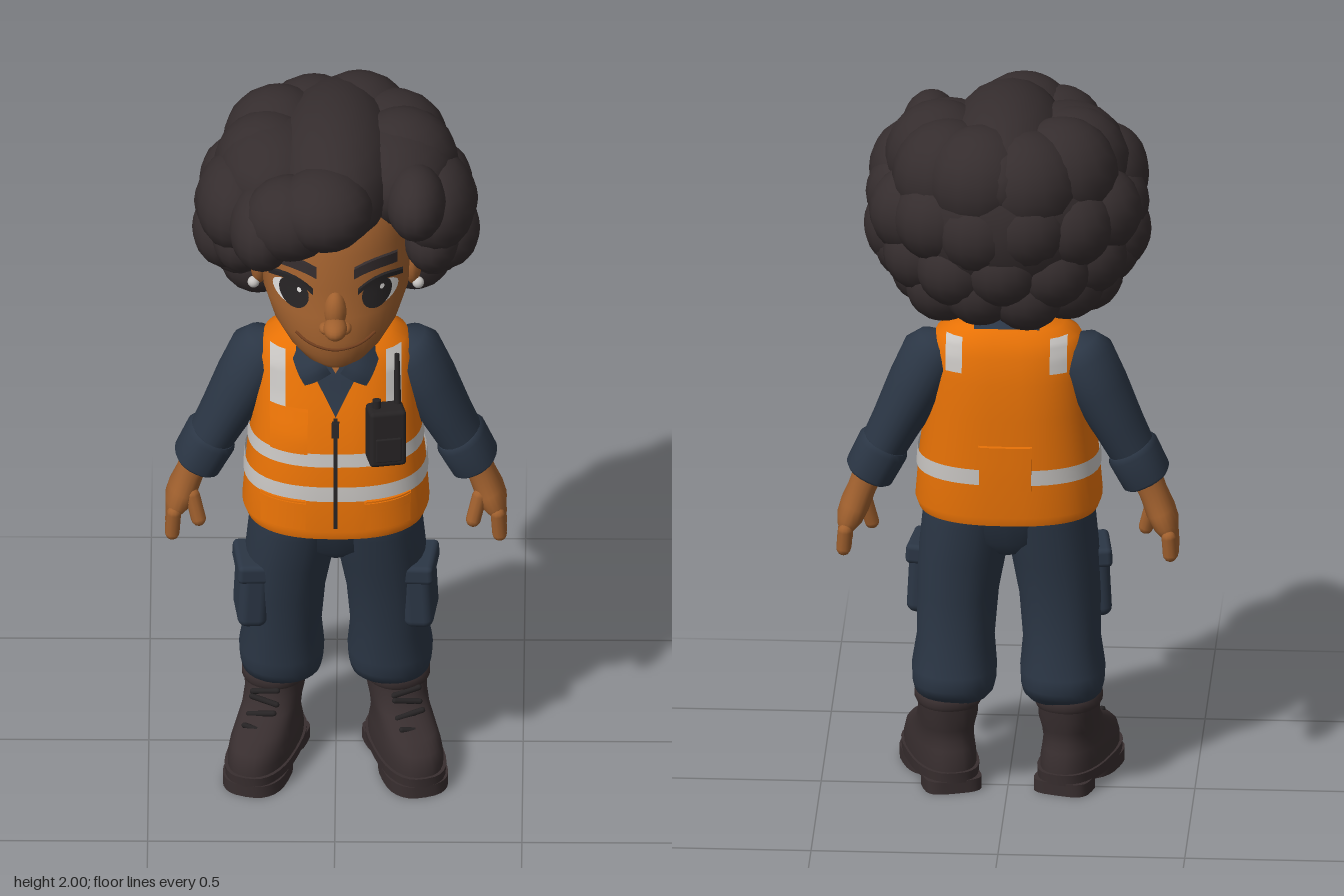
import * as THREE from 'three';
import { RoundedBoxGeometry } from 'three/addons/geometries/RoundedBoxGeometry.js';

const mat = (name, color, side = THREE.FrontSide) => Object.assign(new THREE.MeshStandardMaterial({ color, side }), { name });
const M = {
  skin: mat('skin', 0xa0602e), hair: mat('hair', 0x352d2e), navy: mat('navyCloth', 0x2b3645, THREE.DoubleSide),
  orange: mat('orangeVest', 0xec7406), silver: mat('reflective', 0xc6c3c0, THREE.DoubleSide), boot: mat('bootLeather', 0x382e2f),
  dark: mat('darkRubber', 0x262324), white: mat('eyeWhite', 0xdcdad8), lip: mat('lip', 0x74401f),
};

function add(parent, name, geo, material, pos = [0, 0, 0], scale = [1, 1, 1], rot = [0, 0, 0]) {
  const m = new THREE.Mesh(geo, material);
  m.name = name;
  m.position.set(...pos); m.scale.set(...scale); m.rotation.set(...rot);
  parent.add(m);
  return m;
}
const ball = (parent, name, material, [x, y, z, rx, ry = rx, rz = rx]) =>
  add(parent, name, new THREE.SphereGeometry(1, 16, 12), material, [x, y, z], [rx, ry, rz]);

// Rings are [y, rx, rz, cz, cx], listed from the bottom up
function sample(rings, y) {
  let i = 0;
  while (i < rings.length - 2 && y > rings[i + 1][0]) i++;
  const a = rings[i], b = rings[i + 1], t = THREE.MathUtils.clamp((y - a[0]) / (b[0] - a[0]), 0, 1);
  return a.map((v, k) => v + (b[k] - v) * t);
}

// Skin a stack of superellipse rings; a partial sweep leaves an open band
function loft(rings, p = 2, n = 32, sweep = Math.PI * 2, caps = true) {
  const full = sweep > 6.28, cols = full ? n : n + 1, pos = [], idx = [];
  const pw = v => Math.sign(v) * Math.abs(v) ** (2 / p);
  const ring = ([y, rx, rz, cz = 0, cx = 0]) => {
    for (let k = 0; k < cols; k++) {
      const a = k / n * sweep;
      pos.push(cx + rx * pw(Math.cos(a)), y, cz + rz * pw(Math.sin(a)));
    }
  };
  rings.forEach(ring);
  for (let i = 0; i < rings.length - 1; i++) for (let k = 0; k < n; k++) {
    const k1 = (k + 1) % cols, a = i * cols + k, b = i * cols + k1, c = b + cols, d = a + cols;
    idx.push(a, d, c, a, c, b);
  }
  if (full && caps) for (const top of [false, true]) {
    const r = rings[top ? rings.length - 1 : 0], s = pos.length / 3;
    ring(r);
    pos.push(r[4] ?? 0, r[0], r[3] ?? 0);
    for (let k = 0; k < n; k++) {
      const k1 = (k + 1) % n;
      idx.push(s + n, s + (top ? k1 : k), s + (top ? k : k1));
    }
  }
  const g = new THREE.BufferGeometry();
  g.setAttribute('position', new THREE.Float32BufferAttribute(pos, 3));
  g.setIndex(idx);
  g.computeVertexNormals();
  return g;
}

// Depth of a lofted body at (x, y), and a wrap that lays a flat piece onto it
function depth(rings, p, x, y, dir = 1) {
  const [, rx, rz, cz] = sample(rings, y);
  return cz + dir * rz * Math.max(0, 1 - Math.abs(x / rx) ** p) ** (1 / p);
}
function wrap(geo, rings, p, x, y, off = 0, { dir = 1, bend = 0, half = 1 } = {}) {
  if (dir < 0) geo.rotateY(Math.PI);
  const a = geo.attributes.position;
  for (let i = 0; i < a.count; i++) {
    const u = a.getX(i), px = u + x, py = a.getY(i) + y + bend * (1 - (u / half) ** 2);
    a.setXYZ(i, px, py, a.getZ(i) + dir * off + depth(rings, p, px, py, dir));
  }
  geo.computeVertexNormals();
  return geo;
}
const disc = (rx, ry) => new THREE.RingGeometry(0, 1, 24, 4).scale(rx, ry, 1);
const slab = (w, h, d) => new THREE.BoxGeometry(w, h, d, 8, 4, 1);

const HEAD = [[1.352, .04, .035, .225], [1.37, .085, .08, .195], [1.4, .128, .137, .147], [1.45, .168, .195, .1],
  [1.52, .195, .212, .07], [1.6, .2, .215, .05], [1.7, .2, .23, .03], [1.8, .185, .2, .02], [1.88, .1, .1, .02]];
const VEST = [[.8, .24, .195, .055], [.825, .25, .2, .055], [.95, .24, .195, .05], [1.1, .222, .18, .04], [1.2, .215, .155, .02],
  [1.27, .21, .135, .015], [1.31, .19, .115, .01], [1.335, .15, .09, .01], [1.355, .09, .065, .005]];
const VP = 2.5;

function buildHead(g) {
  add(g, 'head', loft(HEAD, 2, 40), M.skin);
  add(g, 'neck', new THREE.CylinderGeometry(.075, .08, .2, 24), M.skin, [0, 1.37, .02]);
  ball(g, 'noseTip', M.skin, [0, 1.503, .302, .032, .028, .047]);
  ball(g, 'noseBridge', M.skin, [0, 1.535, .262, .032, .06, .04]);
  ball(g, 'muzzle', M.skin, [0, 1.435, .225, .1, .055, .065]);
  // smile
  const mouth = [-.105, -.08, -.05, 0, .05, .08, .105].map(x => {
    const y = 1.428 + .034 * (x / .105) ** 2;
    const bulge = .225 + .065 * Math.sqrt(Math.max(0, 1 - (x / .1) ** 2 - ((y - 1.435) / .055) ** 2));
    return new THREE.Vector3(x, y, Math.max(depth(HEAD, 2, x, y), bulge));
  });
  add(g, 'mouth', new THREE.TubeGeometry(new THREE.CatmullRomCurve3(mouth), 28, .0045, 6), M.lip);
  for (const s of [-1, 1]) {
    ball(g, 'nostril', M.skin, [s * .026, 1.495, .286, .018, .016, .024]);
    add(g, 'eyeWhite', wrap(disc(.048, .033), HEAD, 2, s * .12, 1.573, .004), M.white);
    add(g, 'iris', wrap(disc(.04, .041), HEAD, 2, s * .111, 1.577, .006), M.dark);
    add(g, 'eyeGlint', wrap(disc(.006, .007), HEAD, 2, s * .111 + .014, 1.592, .009), M.white);
    add(g, 'upperLash', wrap(slab(.12, .012, .018), HEAD, 2, s * .12, 1.594, .003, { bend: .025, half: .06 }), M.dark);
    add(g, 'eyebrow', wrap(slab(.115, .029, .022), HEAD, 2, s * .108, 1.652, .001, { bend: .014, half: .058 }), M.hair);
    ball(g, 'ear', M.skin, [s * .205, 1.55, .04, .025, .065, .042]);
    ball(g, 'earring', M.silver, [s * .22, 1.497, .062, .016]);
  }
}

function buildHair(g) {
  const curl = c => ball(g, 'hairCurl', M.hair, c);
  curl([0, 1.71, -.09, .31, .255, .275]);
  curl([0, 1.83, -.02, .17, .17, .33]);
  // swept fringe
  curl([-.03, 1.84, .235, .13, .11, .138]);
  curl([-.12, 1.805, .225, .125, .115, .125]);
  curl([-.195, 1.755, .19, .09, .115, .14]);
  curl([.215, 1.82, .17, .08, .1, .12]);
  for (const s of [-1, 1]) {
    curl([s * .16, 1.82, .0, .16, .135, .2]);
    curl([s * .265, 1.75, .05, .11, .13, .16]);
    curl([s * .255, 1.66, .09, .075, .095, .1]);
    curl([s * .295, 1.62, -.02, .09, .11, .11]);
  }
  // rows of curls around the back: [y, x reach, z reach, size, count, half sweep]
  for (const [y, rx, rz, r, n, half] of [[1.81, .18, .165, .15, 6, 1.7], [1.7, .26, .205, .122, 8, 1.7], [1.58, .25, .2, .108, 7, 1.6], [1.505, .21, .17, .103, 6, 1.5]])
    for (let i = 0; i < n; i++) {
      const a = (i / (n - 1) * 2 - 1) * half;
      curl([rx * Math.sin(a), y + (i % 2) * .012, -.05 - rz * Math.cos(a), r]);
    }
}

function buildVest(g) {
  add(g, 'vestBody', loft(VEST, VP, 48), M.orange);
  const band = (y0, y1) => [y0, (y0 + y1) / 2, y1].map(y => sample(VEST, y).map((v, k) => k === 1 || k === 2 ? v + .005 : v));
  add(g, 'lowerBand', loft(band(.92, .963), VP, 48, Math.PI * 2, false), M.silver);
  add(g, 'upperBand', loft(band(1.02, 1.058), VP, 32, Math.PI), M.silver);
  for (const s of [-1, 1]) {
    add(g, 'frontShoulderStripe', wrap(new THREE.PlaneGeometry(.042, .14, 2, 10), VEST, VP, s * .155, 1.242, .006), M.silver);
    add(g, 'backShoulderStripe', wrap(new THREE.PlaneGeometry(.045, .09, 2, 8), VEST, VP, s * .14, 1.275, .006, { dir: -1 }), M.silver);
    add(g, 'lowerPocket', wrap(slab(.12, .085, .03), VEST, VP, s * .14, .88), M.orange);
    add(g, 'pocketFlap', wrap(slab(.124, .026, .038), VEST, VP, s * .14, .905), M.orange);
  }
  add(g, 'chestPocket', wrap(slab(.1, .11, .026), VEST, VP, -.125, 1.113), M.orange);
  add(g, 'chestPocketFlap', wrap(slab(.104, .03, .034), VEST, VP, -.125, 1.155), M.orange);
  add(g, 'backPocket', wrap(slab(.14, .12, .02), VEST, VP, 0, .965, 0, { dir: -1 }), M.orange);
  add(g, 'backPocketFlap', wrap(slab(.144, .03, .027), VEST, VP, 0, 1.015, 0, { dir: -1 }), M.orange);
  // shirt front and throat taper to a point
  const vee = (w, h) => {
    const v = new THREE.PlaneGeometry(w, h, 8, 10), a = v.attributes.position;
    for (let i = 0; i < a.count; i++) a.setX(i, a.getX(i) * (a.getY(i) / h + .5));
    return v;
  };
  add(g, 'shirtFront', wrap(vee(.2, .185), VEST, VP, 0, 1.2475, .006), M.navy);
  add(g, 'throat', wrap(vee(.12, .085), VEST, VP, 0, 1.3125, .012), M.skin);
  add(g, 'zip', wrap(slab(.011, .31, .016), VEST, VP, 0, .995), M.dark);
  add(g, 'zipPull', wrap(slab(.02, .035, .026), VEST, VP, 0, 1.125), M.dark);
  // collar
  add(g, 'collar', new THREE.CylinderGeometry(.085, .118, .08, 32, 1, true, .5, Math.PI * 2 - 1), M.navy, [0, 1.343, .022], [1, 1, 1], [.4, 0, 0]);
  for (const s of [-1, 1]) {
    // inner, top, outer and lower corners of a gently bulging leaf
    const [a, b, c, d] = [[.012, 1.272, .165], [.06, 1.365, .1], [.128, 1.315, .07], [.082, 1.238, .172]].map(v => new THREE.Vector3(s * v[0], v[1], v[2]));
    const flap = new THREE.PlaneGeometry(1, 1, 6, 6), at = flap.attributes.position;
    for (let i = 0; i < at.count; i++) {
      const u = at.getX(i) + .5, v = at.getY(i) + .5;
      const q = a.clone().lerp(d, u).lerp(b.clone().lerp(c, u), v);
      at.setXYZ(i, q.x, q.y, q.z + .03 * Math.sin(Math.PI * v) + .008 * Math.sin(Math.PI * u));
    }
    if (s < 0) flap.setIndex(Array.from(flap.index.array).reverse());
    flap.computeVertexNormals();
    add(g, 'collarFlap', flap, M.navy);
  }
  // two-way radio
  const radio = new THREE.Group();
  radio.name = 'radio';
  radio.position.set(.135, 1.135, .248);
  radio.rotation.set(-.08, .2, 0);
  add(radio, 'radioBody', new RoundedBoxGeometry(.1, .165, .075, 2, .012), M.dark);
  add(radio, 'radioGrille', new RoundedBoxGeometry(.07, .07, .01, 1, .004), M.dark, [0, -.03, .038]);
  add(radio, 'radioAntenna', new THREE.CylinderGeometry(.007, .01, .17, 10), M.dark, [.035, .14, -.02], [1, 1, 1], [-.08, 0, 0]);
  add(radio, 'radioKnob', new THREE.CylinderGeometry(.012, .012, .03, 10), M.dark, [-.025, .09, 0]);
  g.add(radio);
}

function buildArm(g, s) {
  const arm = new THREE.Group();
  arm.name = s > 0 ? 'leftArm' : 'rightArm';
  arm.position.set(s * .2, 1.24, 0);
  arm.rotation.z = s * .463;
  add(arm, 'sleeve', loft([[-.34, .06, .075], [-.22, .068, .09], [-.1, .08, .102], [0, .085, .098], [.04, .062, .07], [.062, .02, .025]], 2, 24), M.navy);
  add(arm, 'cuff', loft([[-.388, .06, .078], [-.38, .068, .086], [-.3, .071, .09], [-.285, .062, .082]], 2.3, 24), M.navy);
  const hand = new THREE.Group();
  hand.name = s > 0 ? 'leftHand' : 'rightHand';
  hand.position.set(s * .372, .9, -.005);
  hand.rotation.z = s * .37;
  add(hand, 'palm', loft([[-.165, .026, .06], [-.14, .036, .068], [-.1, .04, .062], [-.05, .038, .044], [.03, .042, .046]], 2.2, 20), M.skin);
  for (let i = 0; i < 4; i++)
    add(hand, 'finger', new THREE.CapsuleGeometry(.0195, [.065, .08, .07, .05][i], 4, 10), M.skin, [-s * .006, -.19, .052 - i * .036], [1, 1, 1], [.08 - i * .05, 0, -s * .3]);
  add(hand, 'thumb', new THREE.CapsuleGeometry(.02, .07, 4, 10), M.skin, [-s * .045, -.125, .045], [1, 1, 1], [-.2, 0, -s * .6]);
  g.add(arm, hand);
}

function buildLeg(g, s) {
  const c = s * .145;
  add(g, 'trouserLeg', loft([[.255, .09, .09, .025, c], [.275, .106, .118, .026, c], [.3, .112, .13, .025, c], [.34, .114, .134, .028, c], [.42, .104, .125, .04, s * .142],
    [.55, .11, .138, .05, s * .137], [.66, .118, .152, .055, s * .124], [.78, .125, .175, .06, s * .105], [.82, .12, .172, .06, s * .1]], 2.2, 28), M.navy);
  add(g, 'cargoPocket', new RoundedBoxGeometry(.08, .19, .15, 3, .025), M.navy, [s * .225, .565, .11], [1, 1, 1], [0, -s * .12, s * .05]);
  add(g, 'cargoFlap', new RoundedBoxGeometry(.088, .055, .158, 2, .014), M.navy, [s * .225, .64, .11], [1, 1, 1], [0, -s * .12, s * .05]);

  const boot = new THREE.Group();
  boot.name = s > 0 ? 'leftBoot' : 'rightBoot';
  boot.position.x = s * .155;
  boot.rotation.y = s * .3;
  add(boot, 'upper', loft([[.05, .084, .178, .108], [.085, .084, .178, .108], [.115, .08, .165, .105], [.14, .076, .143, .09],
    [.17, .074, .105, .052], [.205, .077, .09, .025], [.265, .08, .09, .022]], 2.4, 32), M.boot);
  add(boot, 'ankleRim', loft([[.235, .083, .093, .022], [.245, .088, .098, .022], [.262, .088, .098, .022], [.272, .08, .09, .022]], 2.2, 28), M.boot);
  add(boot, 'sole', loft([[.03, .088, .184, .108], [.06, .09, .186, .108]], 2.6, 32), M.boot);
  add(boot, 'treadFront', loft([[0, .086, .115, .177], [.035, .086, .115, .177]], 2.6, 28), M.boot);
  add(boot, 'heel', loft([[0, .078, .062, -.012], [.035, .078, .062, -.012]], 3.5, 24), M.boot);
  for (let i = 0; i < 4; i++)
    add(boot, 'lace', new THREE.CapsuleGeometry(.008, .07, 3, 8), M.dark, [0, .15 + i * .026, [.188, .148, .122, .115][i]], [1, 1, 1], [0, 0, Math.PI / 2 + (i % 2 ? .2 : -.2)]);
  g.add(boot);
}

export function createModel() {
  const root = new THREE.Group();
  root.name = 'worker';
  const part = (name, build) => {
    const g = new THREE.Group();
    g.name = name;
    build(g);
    root.add(g);
  };
  part('headGroup', buildHead);
  part('hairGroup', buildHair);
  part('vestGroup', buildVest);
  part('arms', g => [-1, 1].forEach(s => buildArm(g, s)));
  part('legs', g => {
    add(g, 'hips', loft([[.68, .05, .1, .055], [.73, .15, .155, .055], [.82, .22, .177, .058]], 2.3, 32), M.navy);
    [-1, 1].forEach(s => buildLeg(g, s));
  });
  return root;
}
